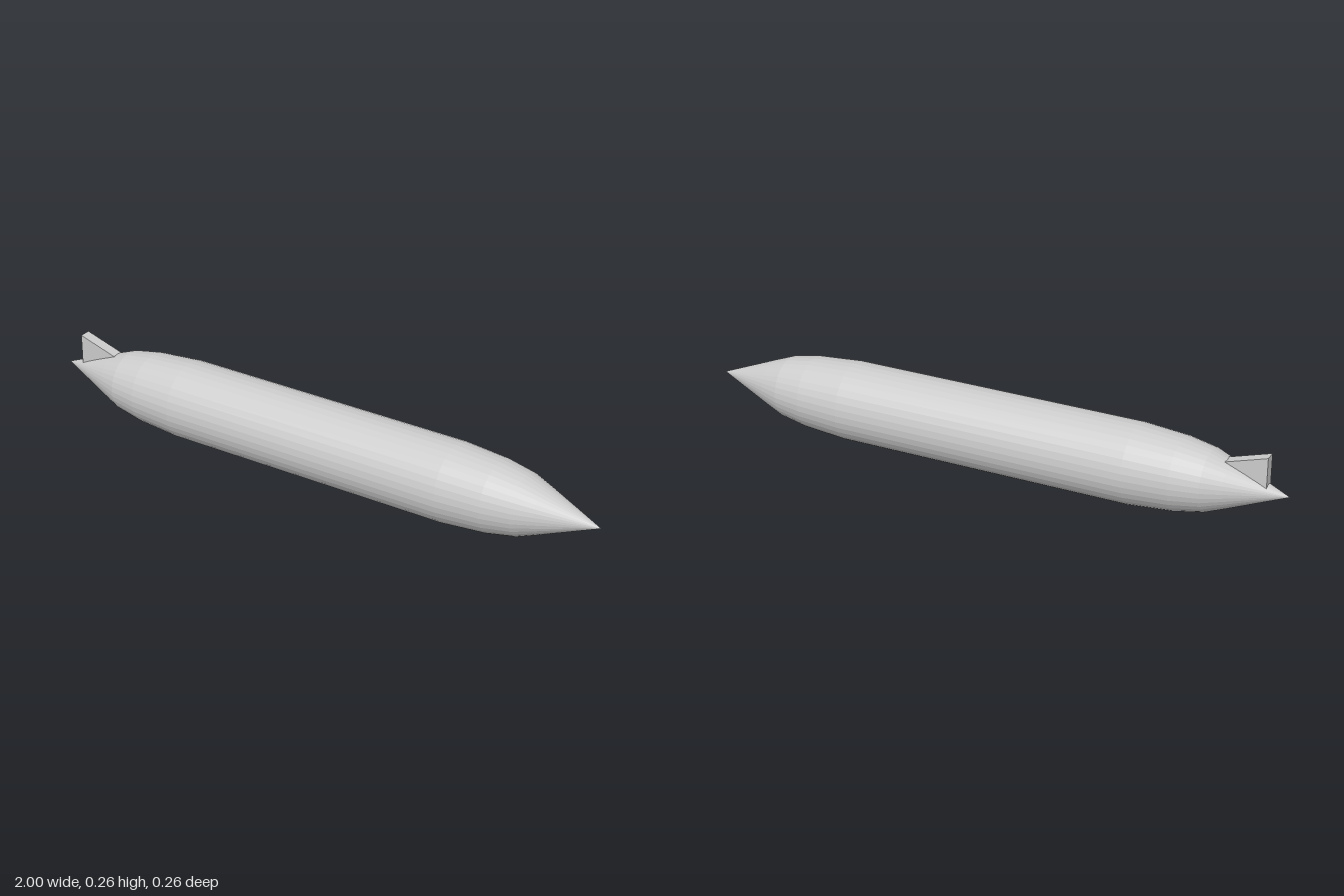
import * as THREE from 'three';

const RADIUS = 0.132;

export function createModel() {
  const group = new THREE.Group();
  const material = new THREE.MeshStandardMaterial({ color: 0xcccccc, flatShading: true });

  // Hull: half profile (distance from middle, radius), mirrored to both ends
  const half = [[0.5, RADIUS], [0.65, 0.12], [0.745, 0.102], [0.81, 0.077], [1, 0]];
  const profile = [
    ...half.slice().reverse().map(([d, r]) => new THREE.Vector2(r, -d)),
    ...half.map(([d, r]) => new THREE.Vector2(r, d)),
  ];
  const hull = new THREE.Mesh(new THREE.LatheGeometry(profile, 36), material);
  hull.name = 'hull';
  hull.rotation.z = -Math.PI / 2;
  hull.position.y = RADIUS;
  group.add(hull);

  // Tail fin: wedge rising towards the tail, its foot sunk in the hull
  const side = new THREE.Shape([
    new THREE.Vector2(-0.93, 0.145),
    new THREE.Vector2(-0.79, 0.19),
    new THREE.Vector2(-0.79, 0.212),
    new THREE.Vector2(-0.93, 0.256),
  ]);
  const thickness = 0.038;
  const finGeometry = new THREE.ExtrudeGeometry(side, { depth: thickness, bevelEnabled: false });
  finGeometry.translate(0, 0, -thickness / 2);
  const fin = new THREE.Mesh(finGeometry, material);
  fin.name = 'tailFin';
  group.add(fin);

  return group;
}
